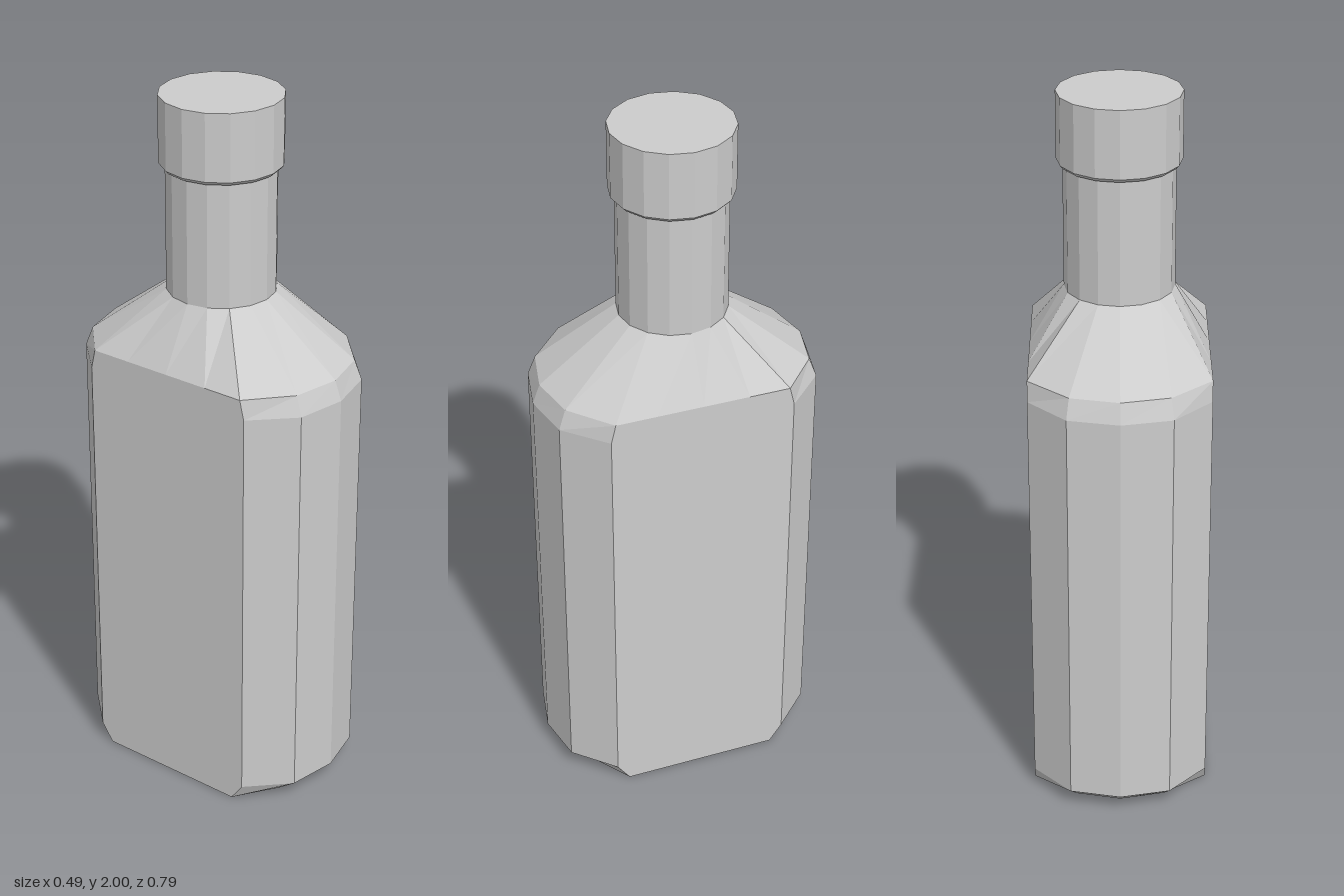
import * as THREE from 'three';

const glass = new THREE.MeshStandardMaterial({ color: 0xcccccc, flatShading: true });
glass.name = 'plain grey';

// Mirrors a quarter outline (front middle to side middle) into a full 16-point ring.
function ring(y, quarter) {
  const points = [];
  const add = (i, sx, sz) => points.push([quarter[i][0] * sx, y, quarter[i][1] * sz]);
  for (let i = 0; i < 4; i++) add(i, 1, 1);
  for (let i = 4; i > 0; i--) add(i, 1, -1);
  for (let i = 0; i < 4; i++) add(i, -1, -1);
  for (let i = 4; i > 0; i--) add(i, -1, 1);
  return points;
}

function circleQuarter(r) {
  return [0, 1, 2, 3, 4].map((i) => [r * Math.sin((i * Math.PI) / 8), r * Math.cos((i * Math.PI) / 8)]);
}

// Skins rings listed from bottom to top and closes the bottom.
function loft(rings) {
  const position = [];
  const tri = (...corners) => corners.forEach((c) => position.push(...c));
  const n = rings[0].length;
  for (let j = 0; j < n; j++) {
    const k = (j + 1) % n;
    for (let i = 0; i < rings.length - 1; i++) {
      const [a, b] = [rings[i], rings[i + 1]];
      tri(a[j], a[k], b[k]);
      tri(a[j], b[k], b[j]);
    }
    tri([0, rings[0][0][1], 0], rings[0][k], rings[0][j]);
  }
  const geometry = new THREE.BufferGeometry();
  geometry.setAttribute('position', new THREE.Float32BufferAttribute(position, 3));
  geometry.computeVertexNormals();
  return geometry;
}

export function createModel() {
  const bottle = new THREE.Group();
  bottle.name = 'bottle';
  const add = (name, geometry, y = 0) => {
    const mesh = new THREE.Mesh(geometry, glass);
    mesh.name = name;
    mesh.position.y = y;
    bottle.add(mesh);
  };

  // Flat-sided body with bevelled foot and sloping shoulder
  const wall = [[0, 0.396], [0.14, 0.367], [0.245, 0.258], [0.245, 0.135], [0.245, 0]];
  add('body', loft([
    ring(0, [[0, 0.333], [0.125, 0.306], [0.245, 0.222], [0.245, 0.115], [0.245, 0]]),
    ring(0.052, wall),
    ring(1.23, wall),
    ring(1.285, [[0, 0.376], [0.133, 0.347], [0.245, 0.245], [0.245, 0.13], [0.245, 0]]),
    ring(1.456, circleQuarter(0.15)),
  ]));

  // Straight neck
  add('neck', new THREE.CylinderGeometry(0.15, 0.15, 0.36, 16, 1, true), 1.636);

  // Stopper with a slightly bevelled lower rim
  add('capRim', new THREE.CylinderGeometry(0.167, 0.158, 0.01, 16), 1.81);
  add('cap', new THREE.CylinderGeometry(0.167, 0.167, 0.185, 16), 1.9075);

  return bottle;
}
